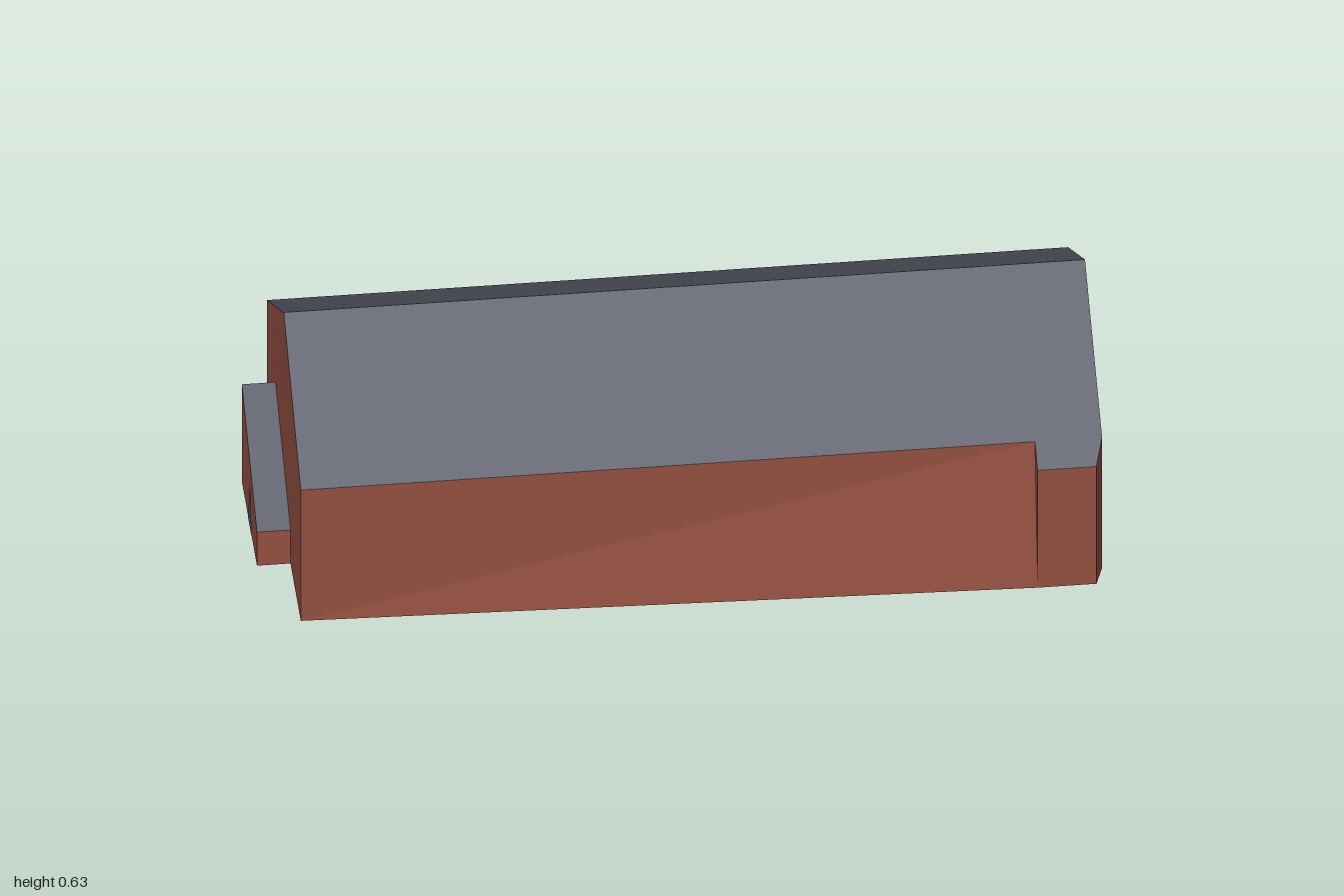
import * as THREE from 'three';

export function createModel() {
  const model = new THREE.Group();
  const mat = (name, color) => {
    const m = new THREE.MeshStandardMaterial({ color, side: THREE.DoubleSide });
    m.name = name;
    return m;
  };
  const brick = mat('brick red', 0x945041);
  const slate = mat('slate grey', 0x535763);
  const cream = mat('cream', 0xc2b699);

  // Flat faces, each a convex outline listed counter-clockwise from outside
  function faces(name, material, polys) {
    const pos = [];
    for (const p of polys)
      for (let i = 1; i < p.length - 1; i++) pos.push(...p[0], ...p[i], ...p[i + 1]);
    const g = new THREE.BufferGeometry();
    g.setAttribute('position', new THREE.Float32BufferAttribute(pos, 3));
    g.computeVertexNormals();
    const mesh = new THREE.Mesh(g, material);
    mesh.name = name;
    model.add(mesh);
  }

  const L = -0.92, R = 0.99, B = -0.4, F = 0.345, BAY = 0.405;
  const bx = 0.83, cx = 0.97, eave = 0.39, low = 0.35, top = 0.635, rz = -0.03;

  // Main hall
  faces('backWall', brick, [[[R, 0, B], [L, 0, B], [L, eave, B], [R, eave, B]]]);
  faces('rightGable', brick, [[[L, 0, B], [L, 0, F], [L, eave, F], [L, top, rz], [L, eave, B]]]);
  faces('leftGable', brick, [[[R, 0, F], [R, 0, B], [R, eave, B], [R, top, rz], [R, eave, F]]]);
  faces('frontWall', brick, [
    [[L, 0, F], [bx, eave, F], [L, eave, F]],
    [[L, 0, F], [bx, 0, BAY], [bx, eave, F]],
  ]);
  // Shallow bay at the end of the front wall
  faces('frontBay', brick, [
    [[bx, 0, BAY], [cx, 0, BAY], [cx, low, BAY], [bx, low, BAY]],
    [[bx, 0, BAY], [bx, low, BAY], [bx, eave, F]],
    [[cx, 0, BAY], [R, 0, F], [R, eave, F], [cx, low, BAY]],
  ]);
  faces('roof', slate, [
    [[L, eave, F], [R, eave, F], [R, top, rz], [L, top, rz]],
    [[R, eave, B], [L, eave, B], [L, top, rz], [R, top, rz]],
    [[bx, low, BAY], [cx, low, BAY], [R, eave, F], [bx, eave, F]],
  ]);

  // Lean-to on the right gable
  const A = -1, ab = -0.21, af = 0.12, ah = 0.29, al = 0.1;
  faces('leanToWalls', brick, [
    [[A, 0, ab], [A, 0, af], [A, al, af], [A, ah, ab]],
    [[L, 0, ab], [A, 0, ab], [A, ah, ab], [L, ah, ab]],
    [[A, 0, af], [L, 0, af], [L, al, af], [A, al, af]],
  ]);
  faces('leanToRoof', slate, [[[A, al, af], [L, al, af], [L, ah, ab], [A, ah, ab]]]);

  // Flat panels; u runs to the viewer's right as seen from outside the wall
  const V = (pts) => pts.map(([x, y]) => new THREE.Vector2(x, y));
  const solid = (pts) => new THREE.Shape(V(pts));
  function frame(pts, k) {
    const s = new THREE.Shape(V(pts));
    const mx = pts.reduce((a, p) => a + p[0], 0) / pts.length;
    const my = pts.reduce((a, p) => a + p[1], 0) / pts.length;
    s.holes.push(new THREE.Path(V(pts.map(([x, y]) => [mx + (x - mx) * k, my + (y - my) * k]).reverse())));
    return s;
  }
  const walls = {
    front: (u, d) => [u, F + d, 0],
    back: (u, d) => [-u, B - d, Math.PI],
    left: (u, d) => [R + d, -u, Math.PI / 2],
    right: (u, d) => [L - d, u, -Math.PI / 2],
    leanTo: (u, d) => [A - d, u, -Math.PI / 2],
  };
  function panel(name, wall, u, d, shape, material) {
    const mesh = new THREE.Mesh(new THREE.ShapeGeometry(shape), material);
    const [x, z, turn] = walls[wall](u, d);
    mesh.position.set(x, 0, z);
    mesh.rotation.y = turn;
    mesh.name = name;
    model.add(mesh);
  }
  const y0 = 0.025, y1 = 0.13;
  const trapezoid = solid([[-0.06, y0], [0.06, y0], [0.02, y1], [-0.02, y1]]);
  const triangle = frame([[-0.06, y0], [0.06, y0], [-0.02, y1]], 0.93);
  const sliver = solid([[-0.06, y0], [-0.02, y1], [0, 0.105]]);
  const sill = solid([[-0.06, y0 - 0.002], [0.06, y0 - 0.002], [0.06, y0 + 0.002], [-0.06, y0 + 0.002]]);

  // Low vents: full plate on the inside, outline or sliver on the outside
  function vent(wall, u, kind) {
    panel('ventInside', wall, u, -0.004, trapezoid, kind === 'dark' ? slate : cream);
    if (kind === 'dark') panel('darkVent', wall, u, 0.002, trapezoid, slate);
    if (kind === 'outline') panel('ventOutline', wall, u, 0.002, triangle, cream);
    if (kind === 'sliver') panel('ventSliver', wall, u, 0.002, sliver, cream);
    if (kind === 'sliver' || kind === 'dark') panel('ventSill', wall, u, 0.003, sill, cream);
  }
  for (let i = 0; i < 9; i++) {
    const x = 0.855 - 0.209 * i;
    vent('back', -x, i === 1 ? 'dark' : i > 1 && i < 5 ? 'outline' : 'sliver');
    vent('front', x, 'hidden');
  }
  vent('left', -0.18, 'outline');
  vent('left', 0.24, 'sliver');
  vent('right', -0.24, 'outline');
  vent('right', 0.2, 'outline');
  panel('leanToVent', 'leanTo', -0.02, 0.002,
    solid([[-0.04, 0.01], [0.04, 0.01], [0.02, 0.13], [0, 0.13]]), slate);

  // Gable window frames
  const win = (c) => frame([[c - 0.084, 0.418], [c + 0.084, 0.418], [c + 0.084, 0.516], [c - 0.084, 0.516]], 0.96);
  panel('leftGableWindow', 'left', 0, 0.002, win(0.029), cream);
  panel('rightGableWindow', 'right', 0, 0.002, win(-0.029), cream);

  return model;
}
